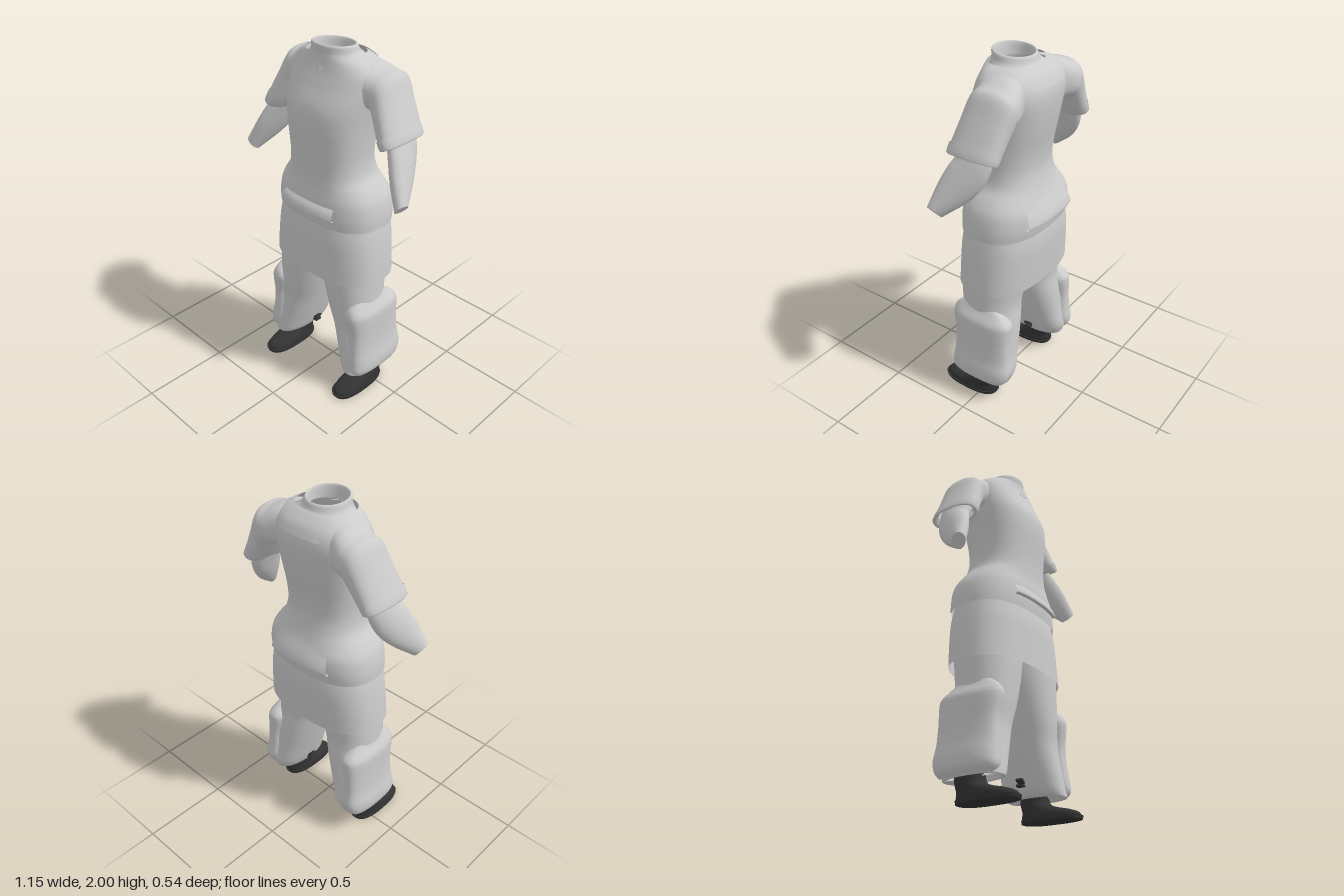
import * as THREE from 'three';

const cloth = new THREE.MeshStandardMaterial({ color: 0xcccccc, side: THREE.DoubleSide });
cloth.name = 'pale grey cloth';
const leather = new THREE.MeshStandardMaterial({ color: 0x333333, side: THREE.DoubleSide });
leather.name = 'black leather';

// Smooth curve through rows of numbers (all rows equally long)
function smooth(rows, steps) {
  const out = [];
  const at = (i) => rows[Math.max(0, Math.min(rows.length - 1, i))];
  for (let i = 0; i < rows.length - 1; i++) {
    for (let k = 0; k < steps; k++) {
      const t = k / steps;
      out.push(at(i).map((b, n) => {
        const a = at(i - 1)[n], c = at(i + 1)[n], d = at(i + 2)[n];
        return b + 0.5 * t * (c - a + t * (2 * a - 5 * b + 4 * c - d + t * (3 * (b - c) + d - a)));
      }));
    }
  }
  out.push(at(rows.length - 1));
  return out;
}

// Horizontal ring: [y, x0, x1, zBack, zFront, frontLift]
const flat = (s) => ([y, x0, x1, zb, zf, lift = 0]) => ({
  c: new THREE.Vector3(s * (x0 + x1) / 2, y, (zb + zf) / 2),
  u: new THREE.Vector3(s * (x1 - x0) / 2, 0, 0),
  v: new THREE.Vector3(0, lift, (zf - zb) / 2),
});
// Slanted ring: [outer x, outer y, inner x, inner y, zBack, zFront, frontLift]
const slanted = (s) => ([ox, oy, ix, iy, zb, zf, lift = 0]) => ({
  c: new THREE.Vector3(s * (ox + ix) / 2, (oy + iy) / 2, (zb + zf) / 2),
  u: new THREE.Vector3(s * (ox - ix) / 2, (oy - iy) / 2, 0),
  v: new THREE.Vector3(0, lift, (zf - zb) / 2),
});

// Skin over a stack of superellipse rings, optionally only part of the way round
function loft(name, rows, ring, { power = 2.3, steps = 4, arc = null, caps = [], mat = cloth } = {}) {
  const rings = smooth(rows, steps).map(ring), n = 40;
  const [a0, a1] = arc || [0, Math.PI * 2];
  const cols = arc ? n + 1 : n;
  const pos = [], idx = [];
  const sp = (v) => Math.sign(v) * Math.pow(Math.abs(v), 2 / power);
  const addRing = (r) => {
    for (let j = 0; j < cols; j++) {
      const a = a0 + (a1 - a0) * j / n;
      const p = r.c.clone().addScaledVector(r.u, sp(Math.cos(a))).addScaledVector(r.v, sp(Math.sin(a)));
      pos.push(p.x, p.y, p.z);
    }
  };
  const last = rings.length - 1;
  const flip = rings[0].u.clone().cross(rings[0].v).dot(rings[last].c.clone().sub(rings[0].c)) < 0;
  const tri = (a, b, c) => (flip ? idx.push(a, c, b) : idx.push(a, b, c));
  rings.forEach(addRing);
  for (let i = 0; i < last; i++) {
    for (let j = 0; j < n; j++) {
      const k = (j + 1) % cols, a = i * cols;
      tri(a + j, a + k, a + cols + j);
      tri(a + k, a + cols + k, a + cols + j);
    }
  }
  for (const end of caps) {
    const r = rings[end ? last : 0], base = pos.length / 3;
    addRing(r);
    pos.push(r.c.x, r.c.y, r.c.z);
    for (let j = 0; j < n; j++) {
      const k = (j + 1) % n;
      if (end) tri(base + j, base + k, base + n); else tri(base + k, base + j, base + n);
    }
  }
  const g = new THREE.BufferGeometry();
  g.setAttribute('position', new THREE.Float32BufferAttribute(pos, 3));
  g.setIndex(idx);
  g.computeVertexNormals();
  const m = new THREE.Mesh(g, mat);
  m.name = name;
  return m;
}

// Row symmetric about x = 0
const sym = ([y, r, zb, zf, lift = 0]) => [y, -r, r, zb, zf, lift];

export function createModel() {
  const model = new THREE.Group();
  model.name = 'uniform';

  // Shirt body, hem to neck
  model.add(loft('shirt', [
    [1.055, 0.34, -0.235, 0.2], [1.12, 0.337, -0.245, 0.205], [1.2, 0.32, -0.24, 0.2],
    [1.26, 0.285, -0.215, 0.19], [1.32, 0.24, -0.195, 0.188], [1.4, 0.225, -0.18, 0.19],
    [1.5, 0.228, -0.188, 0.198], [1.6, 0.237, -0.208, 0.205], [1.7, 0.25, -0.225, 0.195],
    [1.8, 0.265, -0.232, 0.15], [1.87, 0.26, -0.215, 0.12], [1.92, 0.215, -0.18, 0.105],
    [1.95, 0.16, -0.145, 0.1],
  ].map(sym), flat(1), { power: 2.5 }));

  // Open collar
  model.add(loft('collar', [
    [1.92, 0.165, -0.16, 0.105], [1.95, 0.13, -0.135, 0.1, 0.005], [1.985, 0.118, -0.122, 0.102, 0.01],
    [1.985, 0.105, -0.11, 0.09, 0.01], [1.93, 0.1, -0.1, 0.08],
  ].map(sym), flat(1), { power: 2 }));

  // Raised yoke on the upper back
  model.add(loft('backYoke', [
    [1.85, 0.27, -0.232, 0.14], [1.9, 0.245, -0.206, 0.12], [1.94, 0.19, -0.165, 0.1],
  ].map(sym), flat(1), { power: 2.5, arc: [Math.PI * 1.36, Math.PI * 1.64] }));

  // Pocket flaps at the front and back of the hem
  model.add(loft('frontPouch', [
    [1.115, 0.345, -0.24, 0.214], [1.12, 0.35, -0.24, 0.232], [1.155, 0.34, -0.24, 0.222],
    [1.18, 0.325, -0.24, 0.202],
  ].map(sym), flat(1), { power: 2.4, arc: [Math.PI * 0.34, Math.PI * 0.66] }));
  model.add(loft('backPeplum', [
    [1.12, 0.345, -0.245, 0.2], [1.125, 0.355, -0.27, 0.2], [1.17, 0.335, -0.26, 0.2],
    [1.24, 0.295, -0.224, 0.19],
  ].map(sym), flat(1), { power: 2.4, arc: [Math.PI * 1.33, Math.PI * 1.67] }));

  // Skirt under the shirt
  model.add(loft('skirt', [
    [0.73, 0.36, -0.228, 0.215], [0.85, 0.35, -0.235, 0.212], [0.97, 0.335, -0.24, 0.208],
    [1.06, 0.318, -0.232, 0.195], [1.15, 0.3, -0.21, 0.18],
  ].map(sym), flat(1), { power: 2.6 }));

  for (const s of [1, -1]) {
    const side = s > 0 ? 'left' : 'right';

    // Short sleeve with a turned-in hem
    model.add(loft(side + 'Sleeve', [
      [0.15, 1.93, 0.17, 1.67, -0.19, 0.06], [0.21, 1.922, 0.205, 1.68, -0.205, 0.06],
      [0.275, 1.893, 0.235, 1.685, -0.222, 0.05], [0.335, 1.875, 0.26, 1.68, -0.225, 0.045],
      [0.385, 1.775, 0.295, 1.63, -0.215, 0.06], [0.435, 1.67, 0.33, 1.58, -0.206, 0.078],
      [0.467, 1.605, 0.357, 1.545, -0.2, 0.088],
    ], slanted(s), { power: 2.4 }));
    model.add(loft(side + 'Cuff', [
      [0.447, 1.65, 0.337, 1.575, -0.207, 0.09], [0.473, 1.595, 0.36, 1.54, -0.203, 0.092],
      [0.462, 1.592, 0.37, 1.545, -0.185, 0.074], [0.445, 1.62, 0.355, 1.565, -0.175, 0.06],
    ], slanted(s), { steps: 2 }));

    // Forearm
    model.add(loft(side + 'Forearm', [
      [0.425, 1.67, 0.33, 1.6, -0.165, 0.03, 0], [0.462, 1.575, 0.36, 1.525, -0.16, 0.035, 0.02],
      [0.492, 1.51, 0.395, 1.445, -0.125, 0.06, 0.04], [0.53, 1.425, 0.447, 1.36, -0.055, 0.095, 0.035],
      [0.575, 1.325, 0.52, 1.262, 0.045, 0.125, 0.01],
    ], slanted(s), { power: 2, caps: [1] }));

    // Baggy trouser leg
    model.add(loft(side + 'TrouserLeg', [
      [0.15, 0.21, 0.34, -0.12, 0.14], [0.12, 0.205, 0.365, -0.16, 0.178],
      [0.145, 0.178, 0.375, -0.175, 0.18], [0.2, 0.155, 0.375, -0.19, 0.175],
      [0.3, 0.122, 0.355, -0.178, 0.165], [0.4, 0.092, 0.345, -0.172, 0.16],
      [0.5, 0.063, 0.34, -0.165, 0.17], [0.6, 0.036, 0.335, -0.155, 0.175],
      [0.72, 0.01, 0.33, -0.17, 0.18], [0.85, 0.0, 0.32, -0.19, 0.18], [1.0, 0.0, 0.29, -0.19, 0.16],
    ], flat(s), { power: 2.3 }));

    // Padded panel down the outside of the leg
    model.add(loft(side + 'LegPanel', [
      [0.125, 0.3, 0.37, -0.15, 0.155], [0.16, 0.26, 0.396, -0.185, 0.182],
      [0.22, 0.235, 0.398, -0.203, 0.18], [0.3, 0.235, 0.383, -0.193, 0.172],
      [0.4, 0.24, 0.375, -0.188, 0.168], [0.5, 0.22, 0.373, -0.192, 0.183],
      [0.54, 0.225, 0.365, -0.185, 0.182], [0.58, 0.25, 0.34, -0.14, 0.16],
      [0.62, 0.28, 0.32, -0.08, 0.1],
    ], flat(s), { power: 2.6 }));

    // Shoe: sole and upper
    model.add(loft(side + 'Sole', [
      [0, 0.208, 0.36, -0.082, 0.268], [0.018, 0.206, 0.364, -0.084, 0.272],
    ], flat(s), { power: 2.6, steps: 1, caps: [0, 1], mat: leather }));
    model.add(loft(side + 'Shoe', [
      [0.015, 0.21, 0.36, -0.08, 0.265], [0.035, 0.21, 0.36, -0.082, 0.255],
      [0.052, 0.214, 0.357, -0.08, 0.215], [0.068, 0.217, 0.355, -0.08, 0.15],
      [0.09, 0.22, 0.353, -0.085, 0.09], [0.12, 0.222, 0.352, -0.09, 0.07],
      [0.2, 0.23, 0.345, -0.085, 0.06],
    ], flat(s), { power: 2.3, caps: [1], mat: leather }));

    // Drawstring tie inside the ankle
    [[0.15, 0.2, 0.5], [0.157, 0.178, 0]].forEach(([x, y, turn]) => {
      const tie = new THREE.Mesh(new THREE.BoxGeometry(0.042, 0.012, 0.04), leather);
      tie.position.set(s * x, y, -0.01);
      tie.rotation.z = -s * turn;
      tie.name = side + 'AnkleTie';
      model.add(tie);
    });

    // Small folded collar point
    const tip = new THREE.Shape([[0.012, 0.055], [0.085, 0.03], [0.06, -0.012], [0.045, 0.012], [0.02, 0]]
      .map(([x, y]) => new THREE.Vector2(s * x, y)));
    const point = new THREE.Mesh(new THREE.ExtrudeGeometry(tip, { depth: 0.006, bevelEnabled: false }), cloth);
    point.position.set(0, 1.872, 0.118);
    point.rotation.set(-0.4, s * 0.12, 0);
    point.name = side + 'CollarPoint';
    model.add(point);
  }
  return model;
}
